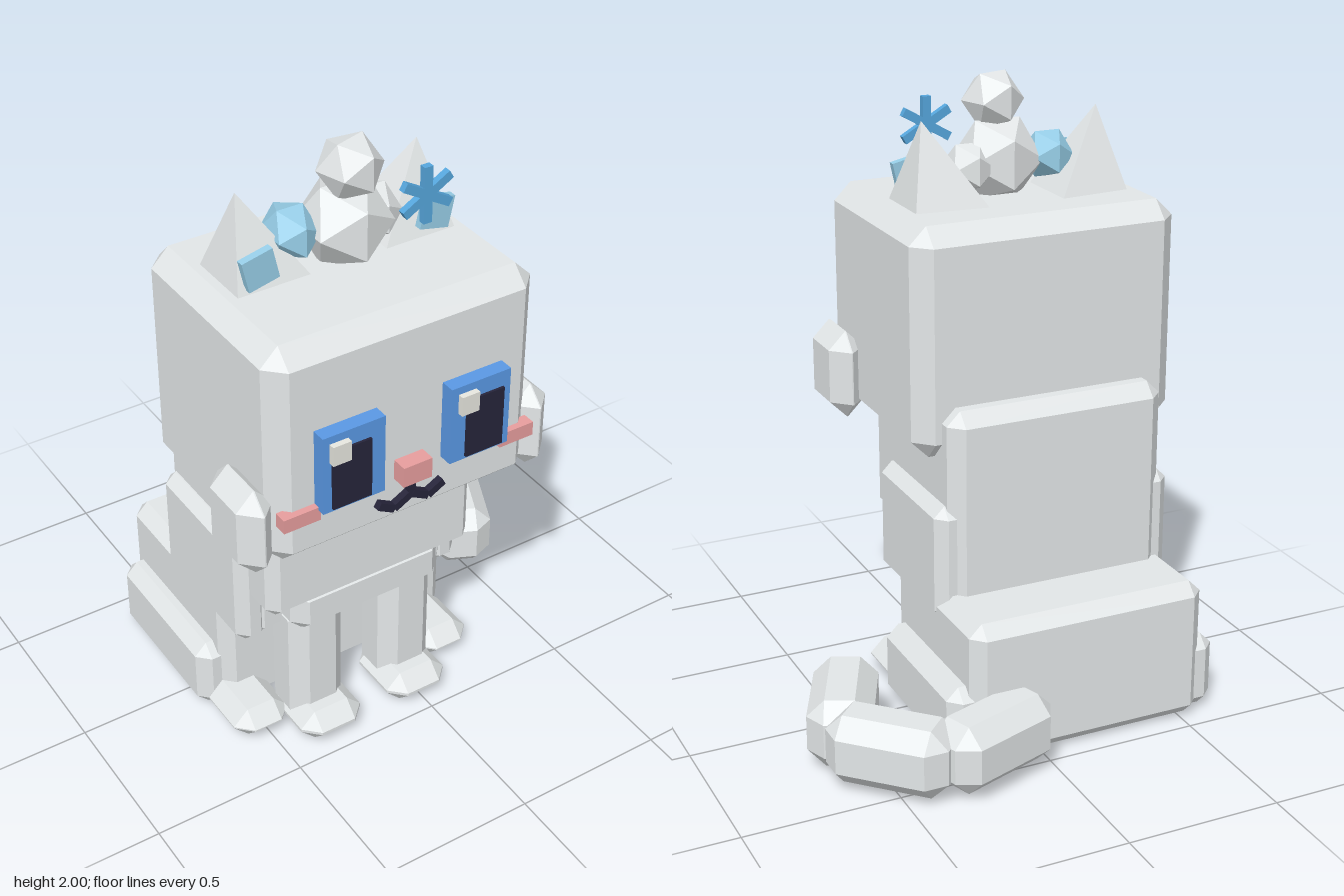
import * as THREE from 'three';
import { ConvexGeometry } from 'three/addons/geometries/ConvexGeometry.js';

const CX = -0.17; // symmetry plane of the body

const material = (name, color) => {
  const m = new THREE.MeshStandardMaterial({ color, flatShading: true });
  m.name = name;
  return m;
};

// Box with every edge and corner cut flat
function chamferBox(w, h, d, b) {
  const half = [w / 2, h / 2, d / 2];
  const points = [];
  for (const sx of [-1, 1]) for (const sy of [-1, 1]) for (const sz of [-1, 1])
    for (let axis = 0; axis < 3; axis++) {
      const c = [sx, sy, sz].map((s, i) => s * (half[i] - (i === axis ? 0 : b)));
      points.push(new THREE.Vector3(...c));
    }
  return new ConvexGeometry(points);
}

export function createModel() {
  const model = new THREE.Group();
  model.name = 'cat';
  const fur = material('pale fur', 0xe3e7e8);
  const white = material('white shine', 0xf2f2ea);
  const blue = material('eye blue', 0x5a98e4);
  const dark = material('dark', 0x26243a);
  const pink = material('pink', 0xeaa0a0);
  const ice = material('ice blue', 0x9ad2ec);
  const snow = material('snowflake blue', 0x56a6dc);

  const add = (name, geometry, mat, x = 0, y = 0, z = 0) => {
    const mesh = new THREE.Mesh(geometry, mat);
    mesh.name = name;
    mesh.position.set(x, y, z);
    model.add(mesh);
    return mesh;
  };
  // Boxes given by their [min, max] range on each axis
  const mid = (r) => (r[0] + r[1]) / 2;
  const len = (r) => r[1] - r[0];
  const block = (name, x, y, z, bevel) =>
    add(name, chamferBox(len(x), len(y), len(z), bevel), fur, mid(x), mid(y), mid(z));
  const plate = (name, mat, x, y, z) =>
    add(name, new THREE.BoxGeometry(len(x), len(y), len(z)), mat, mid(x), mid(y), mid(z));
  // x range at a distance from the symmetry plane, on either side
  const sideRange = (s, a, b) => (s > 0 ? [CX + a, CX + b] : [CX - b, CX - a]);

  // Head and body
  block('head', [-0.615, 0.275], [0.9, 1.63], [-0.138, 0.58], 0.057);
  block('torso', [-0.537, 0.197], [0.38, 1.07], [-0.217, 0.29], 0.045);
  block('chest', [-0.537, 0.197], [0.55, 1.1], [0.15, 0.41], 0.035);
  block('bib', [-0.44, 0.1], [0.43, 0.61], [0.22, 0.4], 0.045);
  block('hips', [-0.572, 0.232], [0.005, 0.472], [-0.448, 0.165], 0.042);

  for (const s of [-1, 1]) {
    const side = s > 0 ? 'left' : 'right';
    block(side + 'CheekTuft', sideRange(s, 0.415, 0.533), [0.89, 1.18], [0.32, 0.578], 0.057);
    block(side + 'Shoulder', sideRange(s, 0.3, 0.407), [0.38, 0.762], [-0.195, 0.29], 0.035);
    block(side + 'Thigh', sideRange(s, 0.345, 0.467), [0.01, 0.26], [-0.42, 0.13], 0.04);
    block(side + 'FrontLeg', sideRange(s, 0.07, 0.262), [0.03, 0.5], [0.19, 0.375], 0.048);
    block(side + 'FrontPaw', sideRange(s, 0.052, 0.272), [0.005, 0.115], [0.2, 0.463], 0.05);
    block(side + 'RearPaw', sideRange(s, 0.25, 0.445), [0.01, 0.115], [0.08, 0.34], 0.05);

    // Square pyramid ear whose tip leans outward
    const pts = [[0.1, 0.015], [0.37, 0.04], [0.37, 0.285], [0.1, 0.285]]
      .map(([x, z]) => new THREE.Vector3(CX + s * x, 1.59, z));
    pts.push(new THREE.Vector3(CX + s * 0.298, 1.888, 0.157));
    add(side + 'Ear', new ConvexGeometry(pts), fur);
    add(side + 'InnerEar', new THREE.BoxGeometry(0.1, 0.1, 0.025), ice, CX + s * 0.292, 1.702, 0.267)
      .rotation.z = -s * 0.22;

    // Eye, with the pupil and shine offset the same way on both sides
    const ex = CX + s * 0.213;
    plate(side + 'Eye', blue, [ex - 0.102, ex + 0.102], [1.098, 1.357], [0.57, 0.626]);
    const px = s > 0 ? 0.056 : -0.393;
    plate(side + 'Pupil', dark, [px - 0.064, px + 0.064], [1.108, 1.305], [0.626, 0.634]);
    const hx = s > 0 ? -0.005 : -0.433;
    plate(side + 'EyeShine', white, [hx - 0.03, hx + 0.03], [1.268, 1.332], [0.626, 0.645]);
    plate(side + 'Blush', pink, sideRange(s, 0.308, 0.428), [1.062, 1.108], [0.56, 0.602]);

    // Two strokes of the curved mouth
    add(side + 'MouthInner', new THREE.BoxGeometry(0.065, 0.025, 0.03), dark, CX + s * 0.03, 1.008, 0.588)
      .rotation.z = -s * 0.5;
    add(side + 'MouthOuter', new THREE.BoxGeometry(0.06, 0.025, 0.03), dark, CX + s * 0.085, 1.007, 0.588)
      .rotation.z = s * 0.5;
  }
  plate('nose', pink, [-0.219, -0.122], [1.083, 1.15], [0.57, 0.63]);
  plate('mouthStem', dark, [CX - 0.012, CX + 0.012], [1.015, 1.085], [0.57, 0.602]);

  // Hair bun with two lobes beside it
  add('lowerBun', new THREE.IcosahedronGeometry(0.145), fur, -0.155, 1.735, 0.215);
  add('upperBun', new THREE.IcosahedronGeometry(0.1), fur, -0.15, 1.915, 0.24).rotation.y = 0.3;
  add('blueLobe', new THREE.IcosahedronGeometry(0.1), ice, -0.315, 1.74, 0.19)
    .scale.set(0.8, 0.85, 1.05);
  add('paleLobe', new THREE.IcosahedronGeometry(0.1), fur, -0.04, 1.725, 0.185)
    .scale.set(0.8, 0.85, 1.05);

  // Snowflake ornament: three crossed bars
  for (let i = 0; i < 3; i++) {
    add('snowflakeBar', new THREE.BoxGeometry(0.028, 0.178, 0.022), snow, 0.025, 1.83, 0.358)
      .rotation.z = (i * Math.PI) / 3;
  }

  // Tail: three chamfered segments curling around the left side (x, z ends)
  const tail = [
    [0.01, -0.44, 0.39, -0.573],
    [0.36, -0.58, 0.64, -0.3],
    [0.63, -0.335, 0.464, 0.02],
  ];
  for (const [x0, z0, x1, z1] of tail) {
    const length = Math.hypot(x1 - x0, z1 - z0);
    add('tailSegment', chamferBox(0.205, 0.225, length, 0.056), fur, (x0 + x1) / 2, 0.138, (z0 + z1) / 2)
      .rotation.y = Math.atan2(x1 - x0, z1 - z0);
  }
  return model;
}
